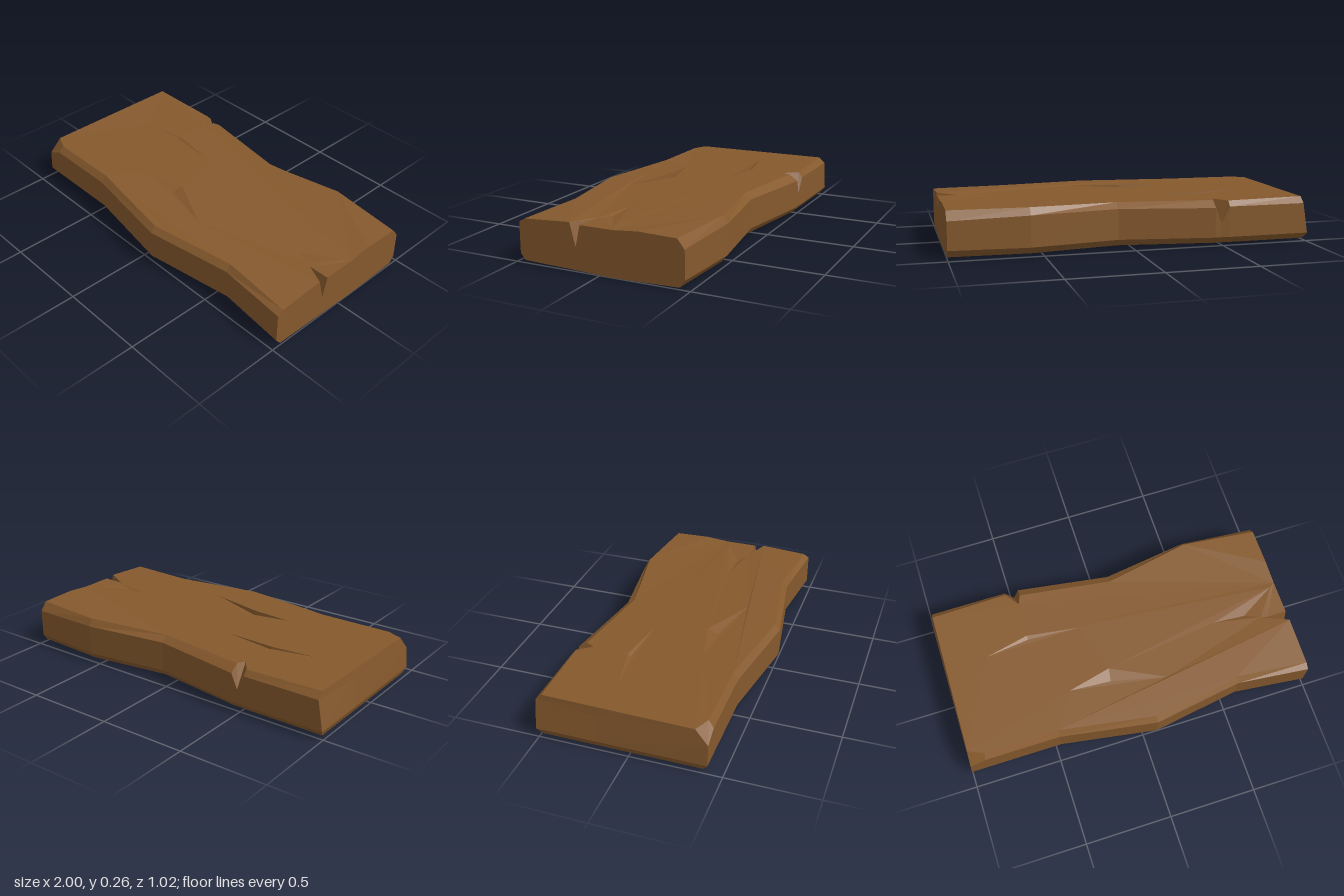
import * as THREE from 'three';

// Perimeter stations, counter-clockwise from above:
// [top x, z, y,  upper side x, z, y,  1 = bottom of a split]
const STATIONS = [
  [-0.98, 0.35, 0.25, -0.99, 0.42, 0.17],
  [-0.89, 0.39, 0.25, -0.9, 0.42, 0.215],
  [-0.47, 0.39, 0.252, -0.47, 0.42, 0.215],
  [0.08, 0.48, 0.248, 0.08, 0.51, 0.215],
  [0.59, 0.4, 0.25, 0.59, 0.43, 0.215],
  [1, 0.44, 0.24, 1, 0.475, 0.22],
  [1, 0.17, 0.256, 1, 0.17, 0.22],
  [0.88, 0.11, 0.246, 1, 0.137, 0.13, 1],
  [1, 0.11, 0.248, 1, 0.11, 0.22],
  [1, -0.08, 0.248, 1, -0.08, 0.22],
  [1, -0.22, 0.26, 1, -0.22, 0.22],
  [1, -0.43, 0.255, 1, -0.47, 0.205],
  [0.57, -0.475, 0.26, 0.57, -0.5, 0.22],
  [0.08, -0.385, 0.25, 0.08, -0.43, 0.22],
  [-0.45, -0.46, 0.252, -0.45, -0.512, 0.215],
  [-0.47, -0.41, 0.25, -0.485, -0.51, 0.13, 1],
  [-0.53, -0.49, 0.25, -0.53, -0.514, 0.22],
  [-0.97, -0.48, 0.254, -0.972, -0.515, 0.22],
  [-0.975, -0.17, 0.246, -0.98, -0.17, 0.2],
];

// Cracks and dents in the top: rim points [x, z, y] and a sunken point
const DENTS = [
  { rim: [[-0.73, -0.15, 0.25], [-0.48, -0.178, 0.252], [-0.18, -0.16, 0.25], [-0.48, -0.205, 0.25]], low: [-0.48, -0.181, 0.235] },
  { rim: [[-0.34, 0.19, 0.25], [-0.1, 0.208, 0.252], [0.21, 0.28, 0.25], [-0.09, 0.13, 0.25]], low: [-0.1, 0.204, 0.225] },
  { rim: [[0.58, 0.05, 0.248], [0.85, 0.1, 0.247], [0.97, -0.06, 0.25]], low: [0.76, 0.06, 0.238] },
];

const vec = ([x, z, y]) => new THREE.Vector3(x, y, z);

function facetMesh(name, triangles, material) {
  const geometry = new THREE.BufferGeometry().setFromPoints(triangles.flat());
  geometry.computeVertexNormals();
  const mesh = new THREE.Mesh(geometry, material);
  mesh.name = name;
  return mesh;
}

// Fill an outline with optional holes, facing up (1) or down (-1)
function fill(outline, holes, facing) {
  const flat = (p) => new THREE.Vector2(p.x, -p.z);
  const all = [outline, ...holes].flat();
  const faces = THREE.ShapeUtils.triangulateShape(outline.map(flat), holes.map((h) => h.map(flat)));
  return faces.map((face) => {
    const t = face.map((i) => all[i]);
    const area = THREE.ShapeUtils.area(t.map(flat));
    return area * facing < 0 ? t.reverse() : t;
  });
}

export function createModel() {
  const wood = new THREE.MeshStandardMaterial({ color: 0x85592d, flatShading: true });
  wood.name = 'brown wood';

  // Four rings: bottom, lower side, upper side, top
  const top = STATIONS.map((s) => vec(s));
  const upper = STATIONS.map((s) => vec(s.slice(3, 6)));
  const lower = upper.map((p) => new THREE.Vector3(p.x < -0.95 ? -1 : p.x, 0.05, p.z));
  const bottom = lower.map((p) => new THREE.Vector3(
    p.x < -0.95 ? -0.985 : p.x,
    0.015 - 0.02 * Math.max(0, p.x) * Math.max(0, 1 - 2 * Math.abs(p.z + 0.1)) * 0.75,
    p.z * 0.94,
  ));

  // Sides and chamfers
  const sides = [];
  const rings = [bottom, lower, upper, top];
  STATIONS.forEach((s, a) => {
    const b = (a + 1) % STATIONS.length;
    for (let r = 0; r < 3; r++) {
      const [lo, hi] = [rings[r], rings[r + 1]];
      if (STATIONS[b][6] && r === 2) {
        sides.push([lo[a], lo[b], hi[a]], [lo[b], hi[b], hi[a]]);
      } else {
        sides.push([lo[a], lo[b], hi[b]], [lo[a], hi[b], hi[a]]);
      }
    }
  });

  // Top face with the sunken cracks
  const rims = DENTS.map((d) => d.rim.map(vec));
  const cracks = [];
  rims.forEach((rim, i) => {
    const low = vec(DENTS[i].low);
    rim.forEach((p, j) => cracks.push([p, rim[(j + 1) % rim.length], low]));
  });

  const plank = new THREE.Group();
  plank.name = 'woodenPlank';
  plank.add(
    facetMesh('sides', sides, wood),
    facetMesh('topFace', fill(top, rims.map((r) => [...r].reverse()), 1), wood),
    facetMesh('cracks', cracks, wood),
    facetMesh('underside', fill(bottom, [], -1), wood),
  );
  return plank;
}
